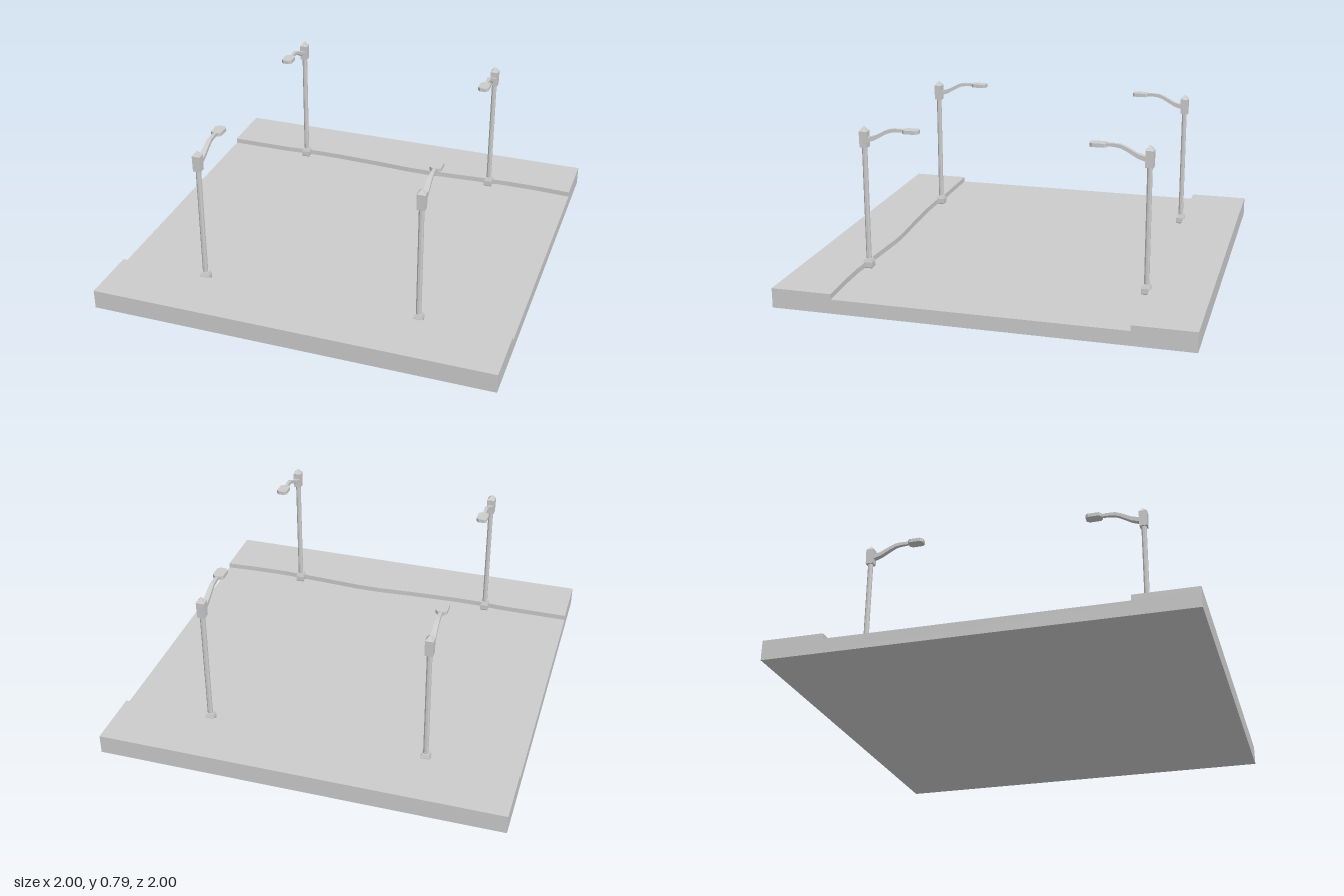
import * as THREE from 'three';

const grey = new THREE.MeshStandardMaterial({ color: 0xcccccc, flatShading: true });

function part(name, geometry, parent) {
  const mesh = new THREE.Mesh(geometry, grey);
  mesh.name = name;
  parent.add(mesh);
  return mesh;
}

// Square-section turned piece; profile points are [half width, height]
function squareLathe(profile) {
  const points = profile.map(([w, y]) => new THREE.Vector2(w * Math.SQRT2, y));
  return new THREE.LatheGeometry(points, 4).rotateY(Math.PI / 4);
}

// Extrude a plan outline (x, z) downwards from height top
function slab(shape, top, depth) {
  return new THREE.ExtrudeGeometry(shape, { depth, bevelEnabled: false, curveSegments: 4 })
    .rotateX(Math.PI / 2).translate(0, top, 0);
}

// Pavement with a gently wandering kerb edge on the +z or -z side
function pavementShape(side) {
  const edge = [[-1, 0.702], [-0.66, 0.702], [-0.5, 0.712], [-0.36, 0.712], [-0.1, 0.701],
    [0.08, 0.69], [0.2, 0.69], [0.45, 0.705], [0.65, 0.714], [0.82, 0.712], [1, 0.703]];
  const outline = [...edge, [1, 1], [-1, 1]];
  return new THREE.Shape(outline.map(([x, z]) => new THREE.Vector2(x, z * side)));
}

// Tapering swan-neck arm reaching towards -z: a box bent along a curve
function armGeometry() {
  const path = new THREE.CatmullRomCurve3([[0.722, 0], [0.73, 0.045], [0.753, 0.09], [0.773, 0.13],
    [0.778, 0.165], [0.777, 0.21]].map(([y, d]) => new THREE.Vector3(0, y, -d)));
  const geometry = new THREE.BoxGeometry(1, 1, 1, 1, 1, 8);
  const pos = geometry.attributes.position;
  for (let i = 0; i < pos.count; i++) {
    const t = 0.5 - pos.getZ(i);
    const centre = path.getPoint(t);
    pos.setXYZ(i, pos.getX(i) * (0.03 - 0.016 * t),
      centre.y + pos.getY(i) * (0.024 - 0.01 * t), centre.z);
  }
  return geometry;
}

// Flat lamp with clipped corners
function lampShape() {
  const w = 0.027, near = -0.2, far = -0.28, c = 0.012;
  return new THREE.Shape([[-w + c, near], [-w, near - c], [-w, far + c], [-w + c, far],
    [w - c, far], [w, far + c], [w, near - c], [w - c, near]]
    .map(([x, z]) => new THREE.Vector2(x, z)));
}

function streetLamp() {
  const lamp = new THREE.Group();
  part('lampBase', squareLathe([[0, 0.068], [0.019, 0.068], [0.022, 0.075], [0.022, 0.1],
    [0.016, 0.118], [0, 0.118]]), lamp);
  part('lampPost', new THREE.CylinderGeometry(0.013, 0.013, 0.58, 8)
    .rotateY(Math.PI / 8).translate(0, 0.4, 0), lamp);
  part('postHead', squareLathe([[0, 0.685], [0.019, 0.685], [0.02, 0.765],
    [0.014, 0.772], [0, 0.79]]), lamp);
  part('lampArm', armGeometry(), lamp);
  part('lampHead', slab(lampShape(), 0.786, 0.018), lamp);
  return lamp;
}

export function createModel() {
  const model = new THREE.Group();
  model.name = 'streetSection';

  part('road', new THREE.BoxGeometry(2, 0.07, 2).translate(0, 0.035, 0), model);

  for (const side of [1, -1]) {
    const end = side > 0 ? 'front' : 'back';
    part(end + 'Pavement', slab(pavementShape(side), 0.097, 0.027), model);

    // Two lamps on each pavement, reaching over the road
    for (const x of [0.547, -0.547]) {
      const lamp = streetLamp();
      lamp.name = end + (x > 0 ? 'Left' : 'Right') + 'StreetLamp';
      lamp.position.set(x, 0, side * 0.695);
      if (side < 0) lamp.rotation.y = Math.PI;
      model.add(lamp);
    }
  }
  return model;
}
